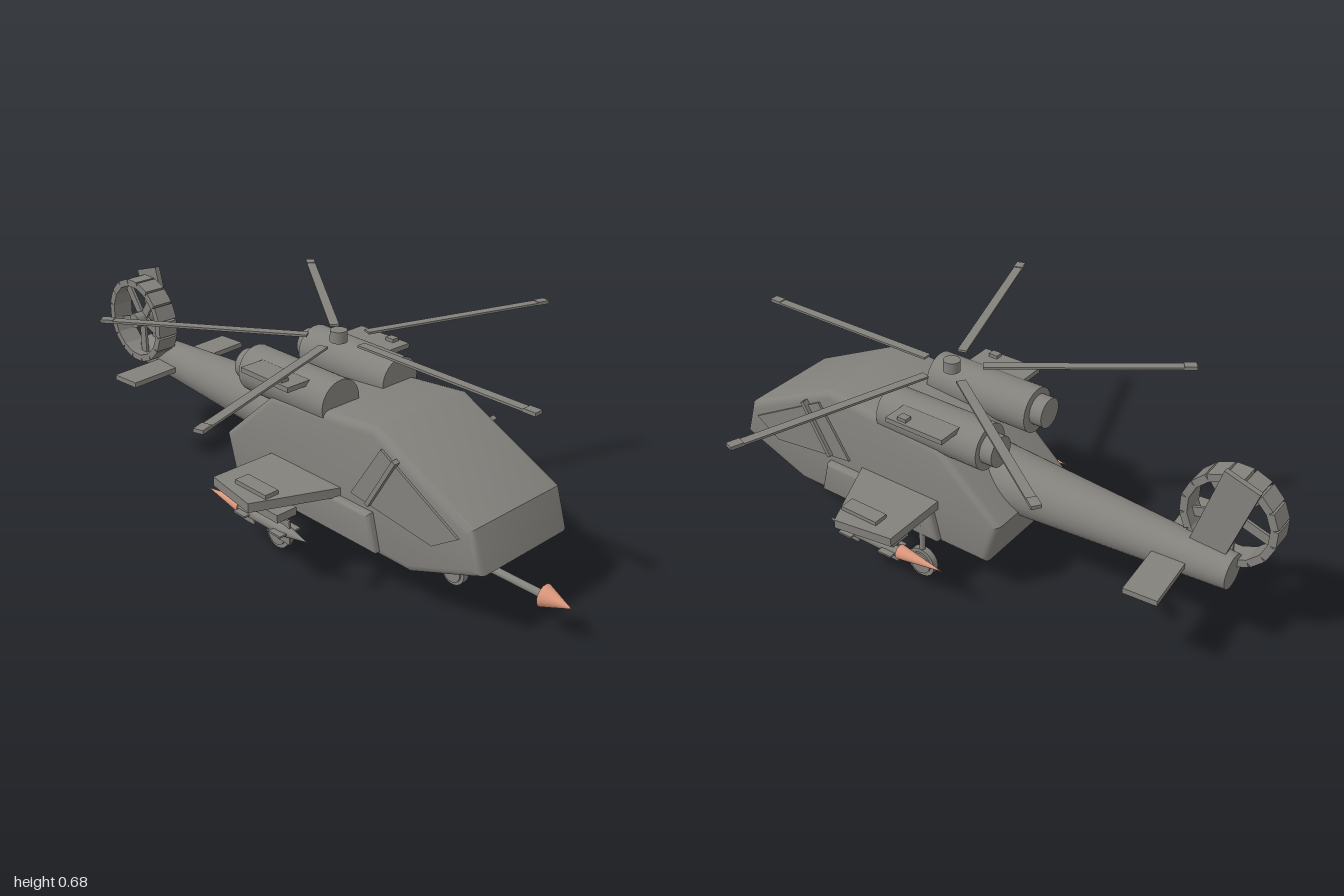
import * as THREE from 'three';
import { toCreasedNormals } from 'three/addons/utils/BufferGeometryUtils.js';

export function createModel() {
  const model = new THREE.Group();
  model.name = 'helicopter';
  const grey = new THREE.MeshStandardMaterial({ color: 0x83817c });
  grey.name = 'hull grey';
  const orange = new THREE.MeshStandardMaterial({ color: 0xd9967a });
  orange.name = 'tip orange';

  const add = (name, geo, x, y, z, mat = grey, parent = model) => {
    const mesh = new THREE.Mesh(geo, mat);
    mesh.name = name;
    mesh.position.set(x, y, z);
    parent.add(mesh);
    return mesh;
  };
  const box = (w, h, d) => new THREE.BoxGeometry(w, h, d);
  // cylinder along x: r1 at the +x end, r0 at the -x end
  const rod = (r1, r0, len, sides = 24) => new THREE.CylinderGeometry(r1, r0, len, sides).rotateZ(-Math.PI / 2);
  // outline in x-y, extruded along z and centred on z = 0
  const slab = (pts, depth, bevel = 0) => {
    const shape = new THREE.Shape(pts.map(p => new THREE.Vector2(...p)));
    const geo = new THREE.ExtrudeGeometry(shape, {
      depth: depth - 2 * bevel, bevelEnabled: bevel > 0, bevelSize: bevel,
      bevelOffset: -bevel, bevelThickness: bevel, bevelSegments: 3,
    });
    return toCreasedNormals(geo.translate(0, 0, -depth / 2 + bevel), 0.6);
  };

  // Fuselage
  add('fuselage', slab([
    [-0.225, 0.295], [-0.18, 0.14], [0.58, 0.138], [0.835, 0.238],
    [0.795, 0.365], [0.435, 0.54], [0, 0.497],
  ], 0.394, 0.025), 0, 0, 0);

  // Tail boom and tail surfaces
  add('tailBoom', rod(0.106, 0.055, 0.85, 32), -0.47, 0.335, 0);
  add('tailFin', slab([[-0.86, 0.36], [-0.745, 0.36], [-0.83, 0.66], [-0.94, 0.625]], 0.018), 0, 0, 0);
  add('stabilizer', box(0.105, 0.018, 0.505), -0.718, 0.338, 0).rotation.y = 0.08;

  // Ringed tail fan beside the fin
  const fan = new THREE.Group();
  fan.name = 'tailFan';
  fan.position.set(-0.848, 0.478, 0.06);
  model.add(fan);
  const segments = 16;
  for (let i = 0; i < segments; i++) {
    const a = (i / segments) * Math.PI * 2;
    const seg = add('fanRingSegment', box(0.024, 0.052, 0.075), Math.cos(a) * 0.136, Math.sin(a) * 0.136, 0, grey, fan);
    seg.rotation.z = a;
  }
  for (let i = 0; i < 5; i++) {
    const a = Math.PI * 0.7 + (i / 5) * Math.PI * 2;
    const blade = add('fanBlade', box(0.12, 0.03, 0.01), Math.cos(a) * 0.07, Math.sin(a) * 0.07, 0, grey, fan);
    blade.rotation.set(0, 0, a);
  }
  add('fanHub', new THREE.CylinderGeometry(0.026, 0.026, 0.1, 20).rotateX(Math.PI / 2), 0, 0, -0.01, grey, fan);

  // Main rotor
  const rotor = new THREE.Group();
  rotor.name = 'mainRotor';
  rotor.position.set(0.09, 0.66, 0);
  model.add(rotor);
  add('rotorHub', new THREE.CylinderGeometry(0.027, 0.027, 0.037, 20), 0, 0.004, 0, grey, rotor);
  for (let i = 0; i < 5; i++) {
    const arm = new THREE.Group();
    arm.name = 'rotorBlade';
    arm.rotation.y = (i / 5) * Math.PI * 2;
    rotor.add(arm);
    add('blade', box(0.65, 0.007, 0.03), 0.42, 0, 0, grey, arm);
    add('bladeTip', box(0.04, 0.011, 0.03), 0.728, 0.001, 0, grey, arm);
  }

  // Chin turret and gun
  const turret = add('turret', new THREE.SphereGeometry(1, 32, 20), 0.635, 0.14, 0);
  turret.scale.set(0.08, 0.048, 0.07);
  add('gunBarrel', rod(0.012, 0.012, 0.25, 16), 0.79, 0.135, 0);
  add('gunTip', rod(0, 0.035, 0.092), 0.954, 0.135, 0, orange);

  // Wheel with a strut
  const wheel = (name, x, y, z, r, top) => {
    const geo = new THREE.CylinderGeometry(r, r, 0.022, 28).rotateX(Math.PI / 2);
    add(name, geo, x, y, z);
    add(name + 'Hub', new THREE.CylinderGeometry(r * 0.75, r * 0.75, 0.034, 24).rotateX(Math.PI / 2), x, y, z);
    add(name + 'Strut', new THREE.CylinderGeometry(0.01, 0.01, top - y, 12), x, (top + y) / 2, z);
  };
  wheel('noseWheel', 0.59, 0.067, 0, 0.043, 0.16);

  // Everything paired on the two sides
  for (const s of [1, -1]) {
    // Engine with nozzle and side shelf
    add('engine', rod(0.075, 0.075, 0.375, 32), 0.043, 0.525, s * 0.125);
    add('engineNozzle', rod(0.05, 0.05, 0.06, 28), -0.157, 0.527, s * 0.13);
    add('engineShelf', box(0.21, 0.016, 0.1), 0.04, 0.578, s * 0.205);
    add('shelfBlock', box(0.032, 0.014, 0.026), 0.092, 0.59, s * 0.232);

    // Cockpit window plate and its bar
    add('sideWindow', slab([[0.355, 0.31], [0.67, 0.27], [0.76, 0.33], [0.47, 0.49]], 0.009), 0, 0, s * 0.2);
    add('windowBar', box(0.014, 0.2, 0.02), 0.48, 0.39, s * 0.207).rotation.z = -0.53;

    // Side sponson
    add('sponson', slab([[-0.01, 0.16], [0.47, 0.16], [0.44, 0.277], [0.02, 0.277]], 0.06, 0.012), 0, 0, s * 0.192);

    // Stub wing, lying flat
    const wing = slab([[0, -s * 0.15], [0.315, -s * 0.15], [0.305, -s * 0.2], [0.195, -s * 0.455], [0, -s * 0.425]], 0.03);
    add('stubWing', wing.rotateX(-Math.PI / 2), 0, 0.288, 0);
    add('wingTopPlate', box(0.135, 0.014, 0.05), 0.143, 0.309, s * 0.378);

    // Missile under the wing
    add('missileRail', box(0.205, 0.026, 0.074), 0.133, 0.239, s * 0.344);
    add('missileBody', rod(0.02, 0.02, 0.19), 0.13, 0.186, s * 0.345);
    add('missileNose', rod(0, 0.02, 0.1), 0.275, 0.186, s * 0.345);
    add('missileTail', rod(0.024, 0, 0.165), -0.048, 0.186, s * 0.345, orange);
    for (const x of [0.065, 0.225]) {
      add('missileFinVertical', box(0.05, 0.08, 0.006), x, 0.186, s * 0.345);
      add('missileFinFlat', box(0.05, 0.006, 0.08), x, 0.186, s * 0.345);
    }

    wheel('mainWheel', 0.053, 0.053, s * 0.213, 0.052, 0.2);
  }
  return model;
}
